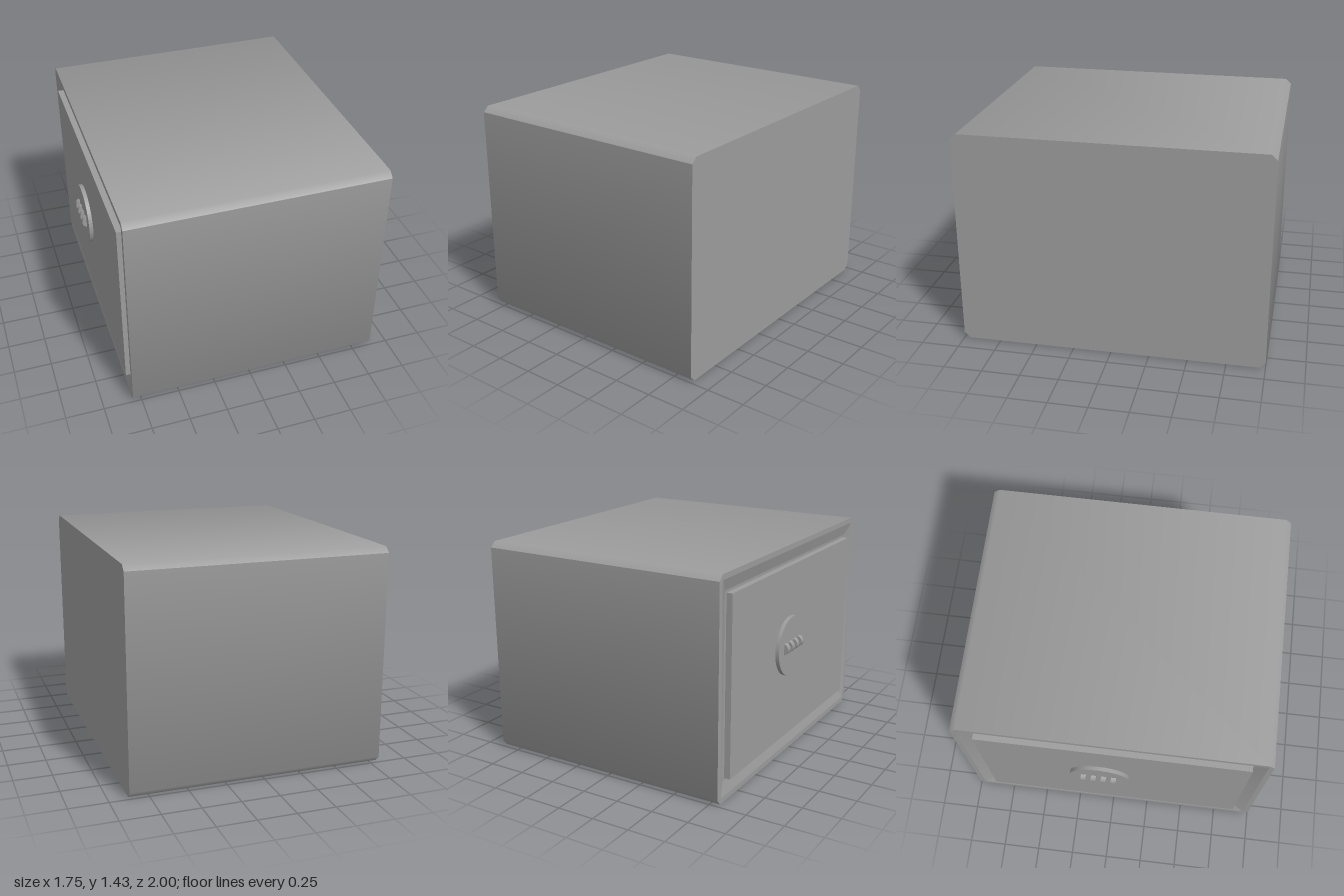
import * as THREE from 'three';

const material = new THREE.MeshStandardMaterial({ color: 0x9c9c9c });
const MID_Y = 0.715;

// Chamfered rectangle in the yz plane at a given x, counter-clockwise about +x.
// Upper chamfers lean towards the top, lower ones towards the walls.
function ring(x, halfY, halfZ, c) {
  const long = c * 1.06;
  return [
    [halfY, -halfZ + long], [halfY, halfZ - long], [halfY - c, halfZ], [-halfY + long, halfZ],
    [-halfY, halfZ - c], [-halfY, -halfZ + c], [-halfY + long, -halfZ], [halfY - c, -halfZ],
  ].map(([y, z]) => new THREE.Vector3(x, MID_Y + y, z));
}

// Skin a series of rings; within a band, faces less than 45 degrees apart are smoothed
function loft(rings) {
  const points = [];
  const normals = [];
  const blend = (a, b) => (a.dot(b) > Math.SQRT1_2 ? a.clone().add(b).normalize() : a);
  for (let k = 0; k < rings.length - 1; k++) {
    const [r, s] = [rings[k], rings[k + 1]];
    const n = r.length;
    const flat = r.map((p, i) => {
      const j = (i + 1) % n;
      return s[j].clone().sub(p).cross(r[j].clone().sub(s[i])).normalize();
    });
    for (let i = 0; i < n; i++) {
      const j = (i + 1) % n;
      const ni = blend(flat[i], flat[(i + n - 1) % n]);
      const nj = blend(flat[i], flat[j]);
      // A cap centre has no edge, so it needs only one triangle per side
      if (!r[i].equals(r[j])) {
        points.push(r[i], s[j], r[j]);
        normals.push(ni, nj, nj);
      }
      if (!s[i].equals(s[j])) {
        points.push(r[i], s[i], s[j]);
        normals.push(ni, ni, nj);
      }
    }
  }
  const g = new THREE.BufferGeometry().setFromPoints(points);
  g.setAttribute('normal', new THREE.Float32BufferAttribute(normals.flatMap((v) => v.toArray()), 3));
  return g;
}

export function createModel() {
  const group = new THREE.Group();
  const add = (name, geometry, x, y, z) => {
    const mesh = new THREE.Mesh(geometry, material);
    mesh.name = name;
    mesh.position.set(x, y, z);
    group.add(mesh);
  };

  // Chamfered casing with a shallow dished recess in its door side
  const casing = loft([
    ring(0.875, 0, 0, 0),
    ring(0.875, MID_Y, 1, 0.036),
    ring(-0.807, MID_Y, 1, 0.036),
    ring(-0.807, 0.68, 0.965, 0.01),
    ring(-0.78, 0.6, 0.89, 0.01),
    ring(-0.78, 0, 0, 0),
  ]);
  add('casing', casing, 0, 0, 0);

  // Door slab standing slightly proud of the rim
  add('door', new THREE.BoxGeometry(0.05, 1.17, 1.75), -0.795, 0.713, 0.005);

  // Round dial plate
  const dial = new THREE.CylinderGeometry(0.2, 0.2, 0.03, 32);
  dial.rotateZ(Math.PI / 2);
  add('dialPlate', dial, -0.831, 0.763, -0.083);

  // Row of combination wheels, half sunk in the dial
  for (let i = 0; i < 4; i++) {
    const wheel = new THREE.CylinderGeometry(0.04, 0.04, 0.034, 20);
    wheel.rotateX(Math.PI / 2);
    add(`combinationWheel${i + 1}`, wheel, -0.835, 0.768, -0.188 + i * 0.0675);
  }

  return group;
}
